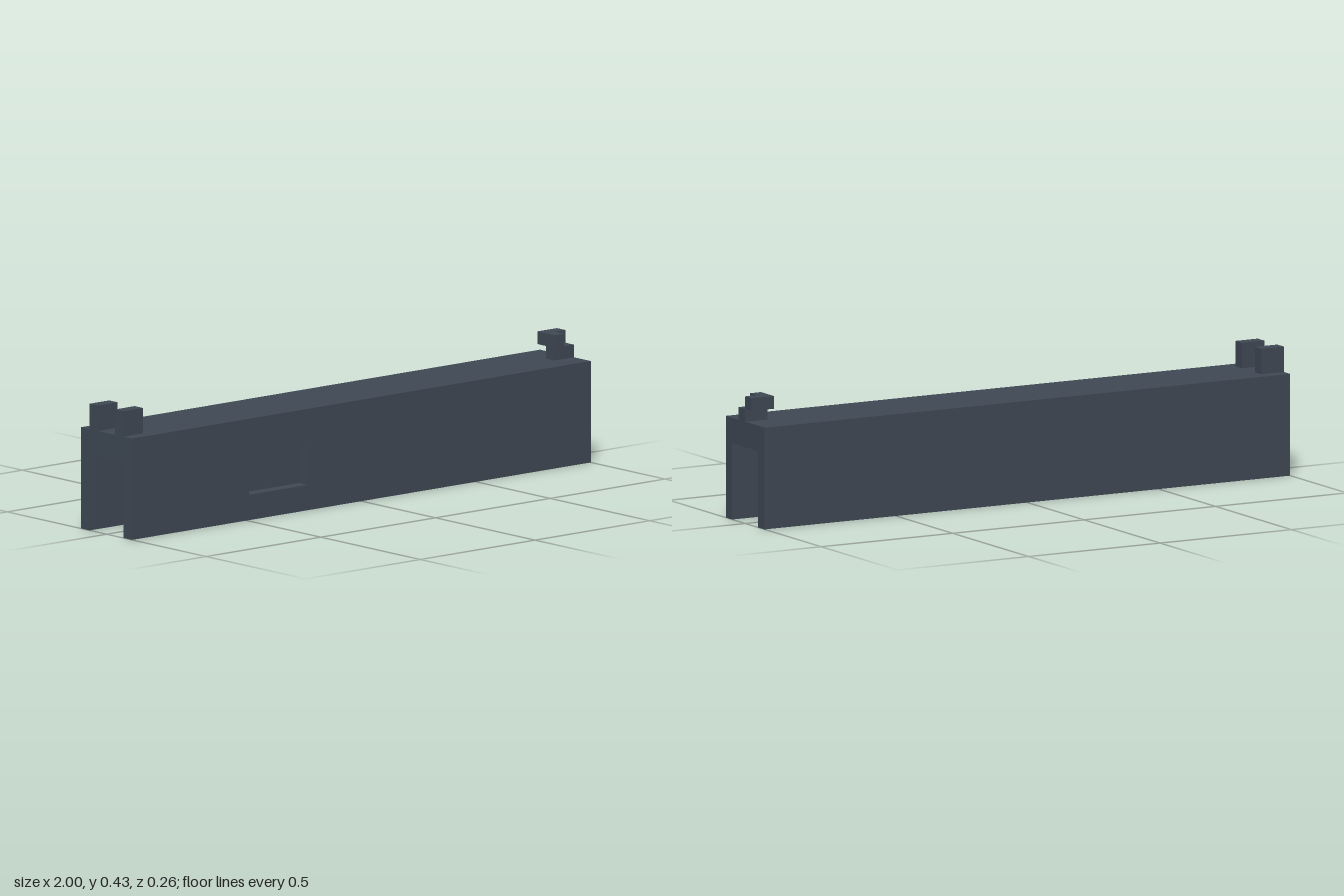
import * as THREE from 'three';

// The whole part sits on a regular grid: 47 cells long, 6 deep, 10 high
const U = 2 / 47;

export function createModel() {
  const model = new THREE.Group();
  model.name = 'channelSlide';
  const slate = new THREE.MeshStandardMaterial({ color: 0x3f4854 });
  slate.name = 'darkSlate';

  const add = (name, geometry, parent = model) => {
    const mesh = new THREE.Mesh(geometry, slate);
    mesh.name = name;
    parent.add(mesh);
    return mesh;
  };

  // Box from min to max corner in grid cells; x counts from the -x end
  const block = (name, [x0, y0, z0], [x1, y1, z1], parent) => {
    const g = new THREE.BoxGeometry((x1 - x0) * U, (y1 - y0) * U, (z1 - z0) * U);
    g.translate(((x0 + x1) / 2) * U - 1, ((y0 + y1) / 2) * U, ((z0 + z1) / 2) * U);
    return add(name, g, parent);
  };

  const rect = (Type, x0, y0, x1, y1) => new Type([
    [x0, y0], [x1, y0], [x1, y1], [x0, y1],
  ].map(([x, y]) => new THREE.Vector2(x * U - 1, y * U)));

  // Roof and back wall: one L profile swept along x
  const profile = new THREE.Shape([
    [3, 0], [3, 8], [-2, 8], [-2, 6], [2, 6], [2, 0],
  ].map(([x, y]) => new THREE.Vector2(x * U, y * U)));
  const shell = new THREE.ExtrudeGeometry(profile, { depth: 2, bevelEnabled: false });
  shell.rotateY(Math.PI / 2).translate(-1, 0, 0);
  add('roofAndBackWall', shell);

  // Front wall with its side opening
  const wall = rect(THREE.Shape, 0, 0, 47, 8);
  wall.holes.push(rect(THREE.Path, 12, 2, 18, 5.1));
  const wallGeometry = new THREE.ExtrudeGeometry(wall, { depth: U, bevelEnabled: false });
  wallGeometry.translate(0, 0, 2 * U);
  add('frontWall', wallGeometry);

  // Pair of rear sight posts
  block('rearSightLeft', [0, 8, 1], [2, 10, 2]);
  block('rearSightRight', [0, 8, -2], [2, 10, -1]);

  // Stepped front sight with an overhanging arm
  const sight = new THREE.Group();
  sight.name = 'frontSight';
  model.add(sight);
  block('sightBase', [45, 8, 0], [47, 9, 1], sight);
  block('sightPost', [45, 9, 0], [46, 10, 1], sight);
  block('sightArm', [45, 9, -1], [47, 10, 0], sight);

  return model;
}
